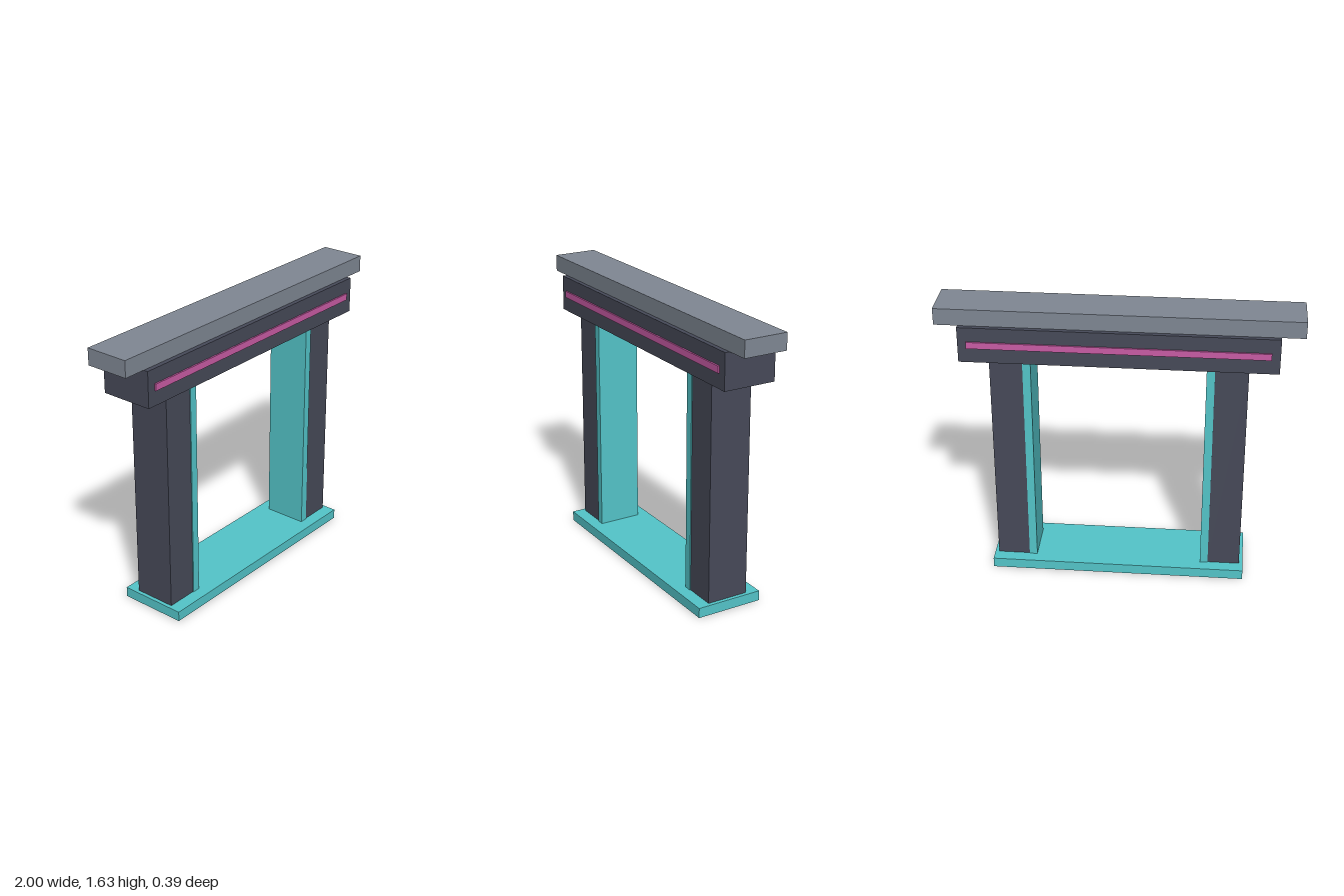
import * as THREE from 'three';

export function createModel() {
  const model = new THREE.Group();
  model.name = 'gateway';

  const mat = (name, color) => {
    const m = new THREE.MeshStandardMaterial({ color });
    m.name = name;
    return m;
  };
  const slate = mat('dark slate', 0x474a59);
  const grey = mat('steel grey', 0x808894);
  const teal = mat('teal', 0x54c6ca);
  const pink = mat('pink', 0xca5ca6);

  // Box given by its extents on each axis
  const box = (name, material, [x0, x1], [y0, y1], [z0, z1]) => {
    const mesh = new THREE.Mesh(new THREE.BoxGeometry(x1 - x0, y1 - y0, z1 - z0), material);
    mesh.position.set((x0 + x1) / 2, (y0 + y1) / 2, (z0 + z1) / 2);
    mesh.name = name;
    model.add(mesh);
  };

  // Threshold, lintel and cap
  box('threshold', teal, [-0.73, 0.73], [0, 0.058], [-0.196, 0.196]);
  box('lintel', slate, [-0.87, 0.87], [1.33, 1.535], [-0.153, 0.153]);
  box('cap', grey, [-1, 1], [1.535, 1.63], [-0.127, 0.127]);

  // Posts with a trim panel on the inner side
  for (const [side, s] of [['left', 1], ['right', -1]]) {
    const span = (a, b) => (s > 0 ? [a, b] : [-b, -a]);
    box(side + 'Post', slate, span(0.52, 0.708), [0.03, 1.335], [-0.122, 0.122]);
    box(side + 'InnerTrim', teal, span(0.48, 0.525), [0.05, 1.325], [-0.127, 0.127]);
  }

  // Accent strips on both faces of the lintel
  box('frontStrip', pink, [-0.823, 0.823], [1.415, 1.453], [0.153, 0.1625]);
  box('backStrip', pink, [-0.823, 0.823], [1.415, 1.453], [-0.1625, -0.153]);

  return model;
}
